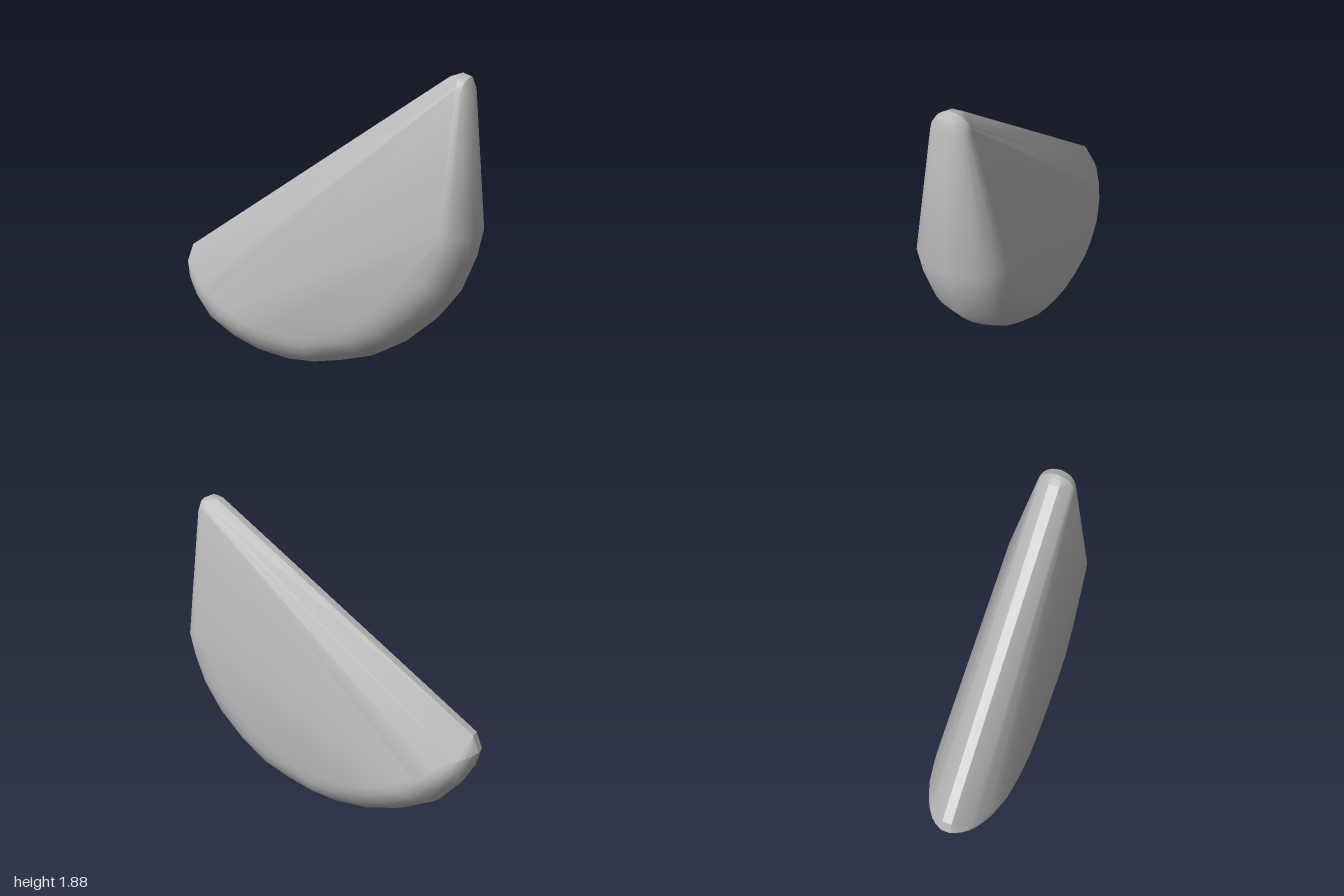
import * as THREE from 'three';
import { toCreasedNormals } from 'three/addons/utils/BufferGeometryUtils.js';
import { ConvexGeometry } from 'three/addons/geometries/ConvexGeometry.js';

// Each station joins a rim point (x, y) to the edge of the flat side (x, y, z)
const STATIONS = [
  [-1.0, 0.57, -0.77, 0.5, 0.18],
  [-0.98, 0.47, -0.74, 0.47, 0.21],
  [-0.92, 0.35, -0.66, 0.42, 0.25],
  [-0.8, 0.2, -0.55, 0.34, 0.28],
  [-0.6, 0.09, -0.4, 0.29, 0.3],
  [-0.4, 0.025, -0.27, 0.27, 0.31],
  [-0.17, 0, -0.1, 0.26, 0.31],
  [0, 0.015, 0, 0.27, 0.31],
  [0.2, 0.07, 0.12, 0.3, 0.31],
  [0.4, 0.14, 0.26, 0.36, 0.31],
  [0.6, 0.27, 0.4, 0.48, 0.31],
  [0.77, 0.44, 0.58, 0.62, 0.295],
  [0.9, 0.63, 0.7, 0.77, 0.28],
  [0.97, 0.83, 0.78, 0.92, 0.27],
  [1.0, 1.0, 0.82, 1.02, 0.265],
  [0.915, 1.8, 0.85, 1.77, 0.11],
  [0.89, 1.86, 0.845, 1.78, 0.108],
  [0.84, 1.88, 0.83, 1.77, 0.11],
];
// Narrow flat strip along the straight upper edge
const RIDGE = [[-1.0, 0.57], [-0.96, 0.67], [0.78, 1.86]];

export function createModel() {
  const group = new THREE.Group();
  const grey = new THREE.MeshStandardMaterial({ color: 0xb8b8b8 });
  grey.name = 'plain grey';

  const points = [];
  const addPair = (x, y, z) => {
    points.push(new THREE.Vector3(x, y, z));
    if (z > 0) points.push(new THREE.Vector3(x, y, -z));
  };

  // Rounded rim: a quarter ellipse at every station, mirrored front to back
  const steps = 7;
  for (const [rx, ry, ix, iy, iz] of STATIONS) {
    for (let i = 0; i <= steps; i++) {
      const a = (i / steps) * Math.PI / 2;
      const inset = 1 - Math.cos(a);
      addPair(rx + (ix - rx) * inset, ry + (iy - ry) * inset, iz * Math.sin(a));
    }
  }
  for (const [x, y] of RIDGE) addPair(x, y, 0.03);

  // The body is the convex skin over all sections
  const geometry = toCreasedNormals(new ConvexGeometry(points), 0.45);
  const body = new THREE.Mesh(geometry, grey);
  body.name = 'wedgeBody';
  group.add(body);
  return group;
}
